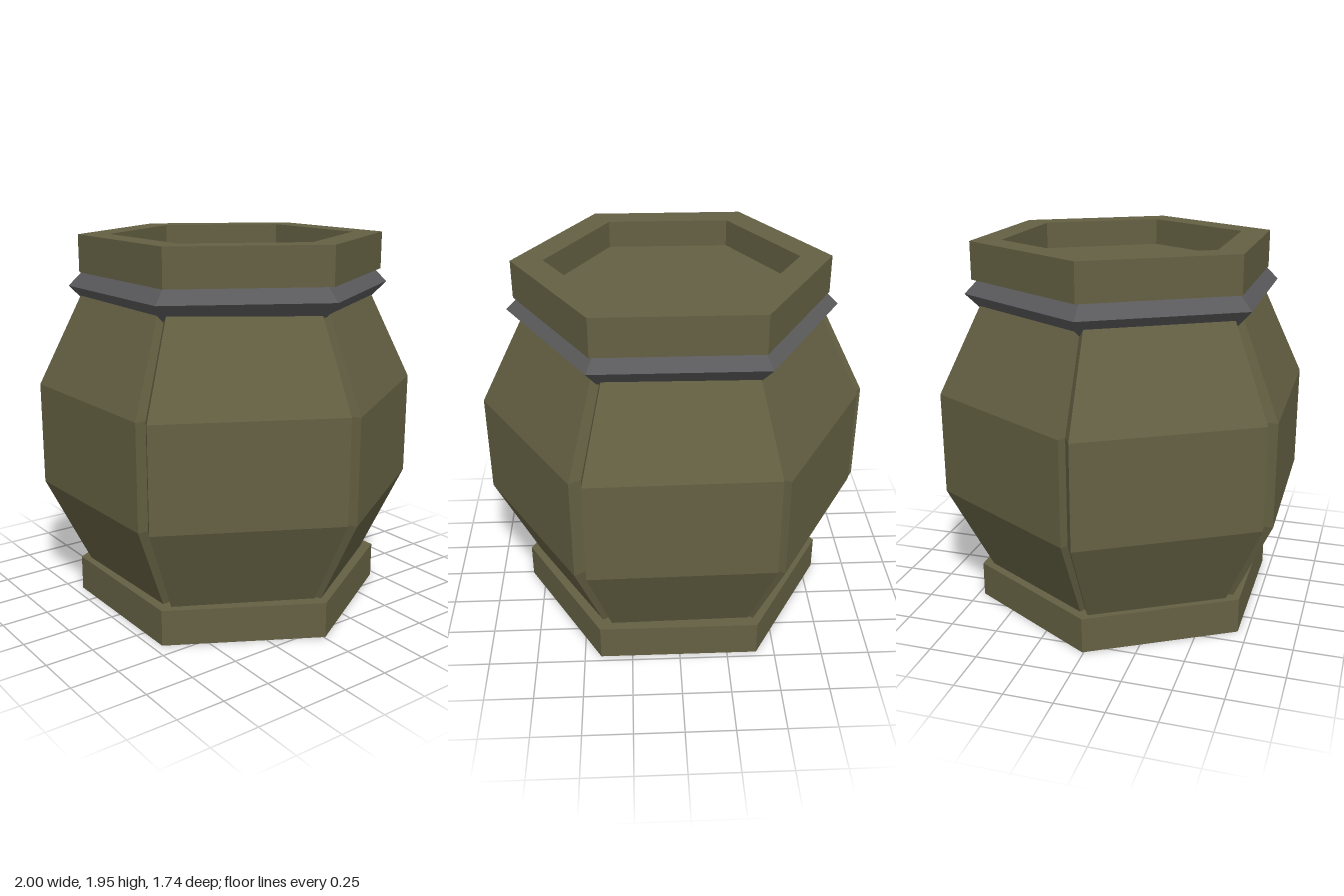
import * as THREE from 'three';

const olive = new THREE.MeshStandardMaterial({ color: 0x646043 });
olive.name = 'olive';
const grey = new THREE.MeshStandardMaterial({ color: 0x5a5a5c });
grey.name = 'grey';

// Six-sided turned part with hard edges; profile is [radius, y] from the bottom up the outside
function hexPart(name, profile, material, x, z) {
  const points = profile.map(([r, y]) => new THREE.Vector2(r, y));
  const geometry = new THREE.LatheGeometry(points, 6, Math.PI / 6).toNonIndexed();
  geometry.computeVertexNormals();
  const mesh = new THREE.Mesh(geometry, material);
  mesh.name = name;
  mesh.position.set(x, 0, z);
  return mesh;
}

// Bulging wall slab between plan corners a and b, lofted through [scale, y] levels
function wallPanel([ax, az], [bx, bz]) {
  const thickness = 0.14;
  const length = Math.hypot(bx - ax, bz - az);
  const nx = ((bz - az) / length) * thickness;
  const nz = (-(bx - ax) / length) * thickness;
  const plan = [[ax, az], [bx, bz], [bx + nx, bz + nz], [ax + nx, az + nz]];
  const levels = [[0.76, 0.17], [1, 0.645], [1, 1.18], [0.74, 1.7]];
  const rings = levels.map(([s, y]) => plan.map(([x, z]) => [x * s, y, z * s]));
  const positions = [];
  const quad = (a, b, c, d) => positions.push(...a, ...b, ...c, ...a, ...c, ...d);
  for (let i = 0; i < rings.length - 1; i++) {
    for (let k = 0; k < 4; k++) {
      const n = (k + 1) % 4;
      quad(rings[i][k], rings[i][n], rings[i + 1][n], rings[i + 1][k]);
    }
  }
  quad(...rings[rings.length - 1]);
  quad(...[...rings[0]].reverse());
  const geometry = new THREE.BufferGeometry();
  geometry.setAttribute('position', new THREE.Float32BufferAttribute(positions, 3));
  geometry.computeVertexNormals();
  return new THREE.Mesh(geometry, olive);
}

export function createModel() {
  const pot = new THREE.Group();
  pot.name = 'hexagonalPot';

  // Foot
  pot.add(hexPart('base', [[0, 0], [0.82, 0], [0.82, 0.187], [0, 0.187]], olive, 0.005, -0.008));

  // Slightly skewed wall slabs, with V grooves between them
  const walls = new THREE.Group();
  walls.name = 'walls';
  const edges = [
    ['frontPanel', [-0.475, 0.865], [0.46, 0.85]],
    ['frontLeftPanel', [0.525, 0.83], [0.975, 0.005]],
    ['backLeftPanel', [1.0, -0.03], [0.52, -0.835]],
    ['backPanel', [0.46, -0.87], [-0.47, -0.855]],
    ['backRightPanel', [-0.505, -0.86], [-0.97, -0.05]],
    ['frontRightPanel', [-1.0, 0.01], [-0.53, 0.825]],
  ];
  for (const [name, a, b] of edges) {
    const panel = wallPanel(a, b);
    panel.name = name;
    walls.add(panel);
  }
  pot.add(walls);

  // Pointed neck band
  pot.add(hexPart('neckBand',
    [[0, 1.6], [0.745, 1.6], [0.835, 1.69], [0.765, 1.76], [0, 1.76]], grey, 0.005, -0.015));

  // Rim with a sunken lid
  pot.add(hexPart('rim',
    [[0, 1.758], [0.79, 1.758], [0.79, 1.95], [0.63, 1.95], [0.63, 1.81], [0, 1.81]], olive, 0.01, -0.026));

  return pot;
}
